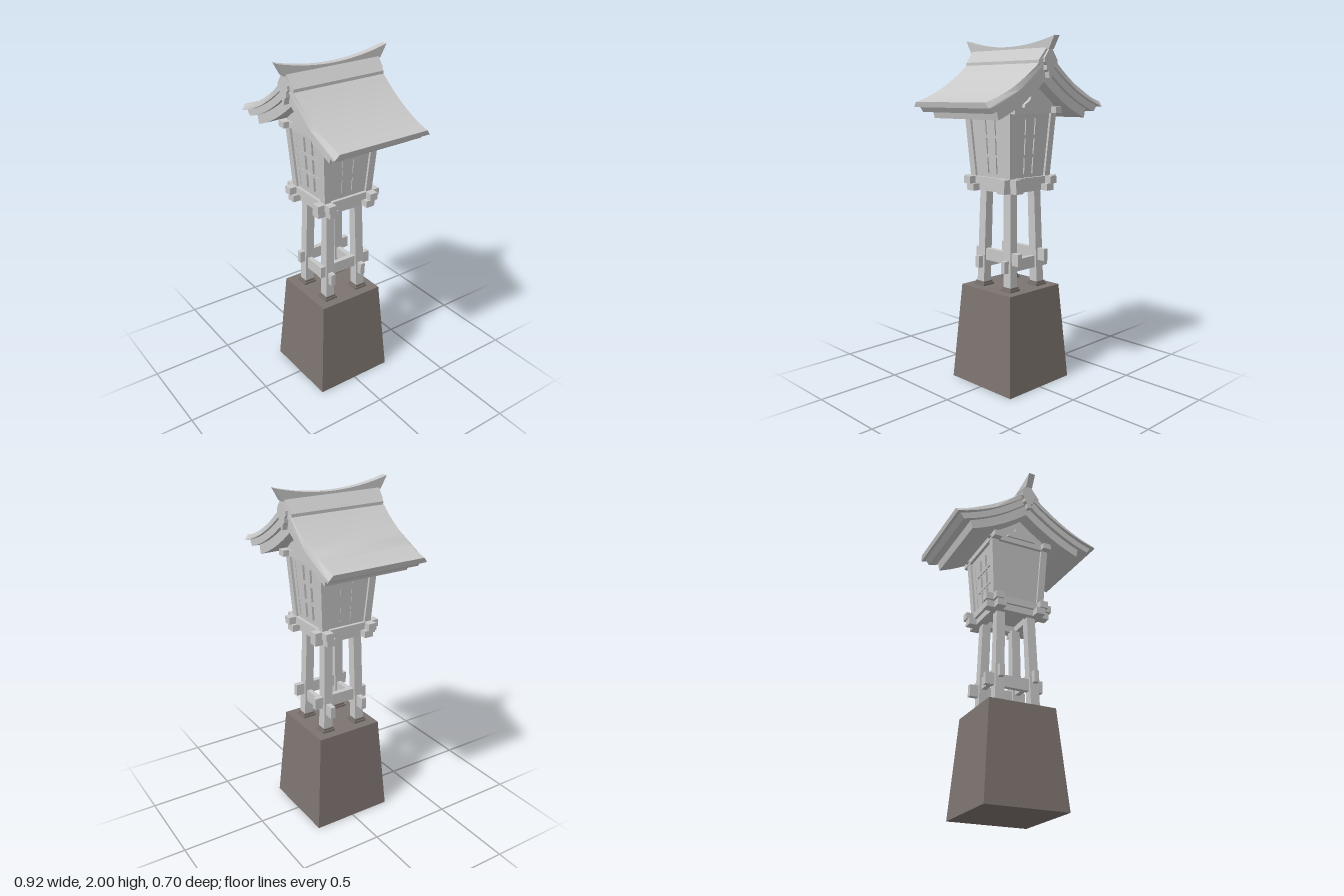
import * as THREE from 'three';
import { toCreasedNormals } from 'three/addons/utils/BufferGeometryUtils.js';

export function createModel() {
  const model = new THREE.Group();
  model.name = 'stoneLantern';
  const paleStone = new THREE.MeshStandardMaterial({ color: 0xc8c8c8 });
  paleStone.name = 'paleStone';
  const darkStone = new THREE.MeshStandardMaterial({ color: 0x7d7470 });
  darkStone.name = 'darkStone';

  const add = (name, geometry, material = paleStone, parent = model) => {
    const mesh = new THREE.Mesh(geometry, material);
    mesh.name = name;
    parent.add(mesh);
    return mesh;
  };
  const box = (name, w, h, d, x, y, z, material) =>
    add(name, new THREE.BoxGeometry(w, h, d).translate(x, y, z), material);
  // Square bar from (x0, y0, z0) to (x1, y1, z1) with widths w0 and w1
  const bar = (name, [x0, y0, z0, w0], [x1, y1, z1, w1], material) => {
    const g = new THREE.BoxGeometry(1, 1, 1);
    const p = g.attributes.position;
    for (let i = 0; i < p.count; i++) {
      const top = p.getY(i) > 0;
      const w = top ? w1 : w0;
      p.setXYZ(i, (top ? x1 : x0) + p.getX(i) * w, top ? y1 : y0, (top ? z1 : z0) + p.getZ(i) * w);
    }
    g.computeVertexNormals();
    return add(name, g, material);
  };
  const shapeOf = pts => new THREE.Shape(pts.map(([x, y]) => new THREE.Vector2(x, y)));
  // Mirrors a right-hand outline (top to bottom) to a closed outline
  const mirrored = pts => shapeOf([...pts, ...pts.slice().reverse().map(([x, y]) => [-x, y])]);
  const slab = (shape, depth) =>
    new THREE.ExtrudeGeometry(shape, { depth, bevelEnabled: false }).translate(0, 0, -depth / 2);

  // Tapered pedestal
  bar('pedestal', [0, 0, 0, 0.49], [0, 0.575, 0, 0.405], darkStone);

  // Four legs on stepped pads, and four splayed posts around the lamp box
  for (const sx of [-1, 1]) for (const sz of [-1, 1]) {
    const x = sx * 0.11, z = sz * 0.11;
    box('legPadLower', 0.08, 0.014, 0.08, x, 0.581, z, darkStone);
    box('legPadUpper', 0.068, 0.012, 0.068, x, 0.594, z, darkStone);
    bar('leg', [x, 0.598, z, 0.056], [sx * 0.097, 1.15, sz * 0.097, 0.052]);
    bar('cornerPost', [sx * 0.14, 1.22, sz * 0.14, 0.042], [sx * 0.165, 1.6, sz * 0.165, 0.042]);
  }

  for (const s of [-1, 1]) {
    // Braces through the legs, slightly offset
    box('sideToSideBrace', 0.355, 0.07, 0.03, -0.011, 0.72, s * 0.107);
    box('frontToBackBrace', 0.03, 0.07, 0.35, s * 0.107, 0.765, -0.01);
    // Crossed beams below the lamp box
    box('lowerBeamX', 0.40, 0.04, 0.055, 0, 1.165, s * 0.125);
    box('lowerBeamZ', 0.055, 0.04, 0.40, s * 0.125, 1.165, 0);
    box('upperBeamX', 0.42, 0.042, 0.05, 0, 1.206, s * 0.142);
    box('upperBeamZ', 0.05, 0.042, 0.42, s * 0.142, 1.206, 0);
    // Crossed beams under the roof
    box('topBeamX', 0.376, 0.035, 0.05, 0, 1.603, s * 0.165);
    box('topBeamZ', 0.05, 0.035, 0.45, s * 0.163, 1.603, 0);
  }
  box('floor', 0.28, 0.03, 0.28, 0, 1.2, 0);

  // Lattice walls: a tapered frame with nine openings over a recessed panel
  const halfWidth = v => 0.1 + 0.015 * (v - 0.02) / 0.32;
  const outline = [[0.148, 0.385], [0.122, 0]];
  const lattice = mirrored(outline);
  for (let r = 0; r < 3; r++) for (let c = 0; c < 3; c++) {
    const v0 = 0.025 + r * 0.11, v1 = v0 + 0.095;
    const at = (f, v) => new THREE.Vector2((f * 2 / 3 - 1) * halfWidth(v), v);
    const m = 0.08;
    lattice.holes.push(new THREE.Path([
      at(c + m, v0), at(c + m, v1), at(c + 1 - m, v1), at(c + 1 - m, v0)]));
  }
  const latticeGeometry = slab(lattice, 0.02);
  const panelGeometry = slab(mirrored(outline), 0.008).translate(0, 0, -0.013);
  for (let i = 0; i < 4; i++) {
    const wall = new THREE.Group();
    wall.name = 'latticeWall';
    const tilted = new THREE.Group();
    tilted.name = 'tiltedWall';
    tilted.position.set(0, 1.22, 0.137);
    tilted.rotation.x = Math.atan(0.025 / 0.38);
    add('lattice', latticeGeometry, paleStone, tilted);
    add('recessedPanel', panelGeometry, paleStone, tilted);
    wall.add(tilted);
    wall.rotation.y = i * Math.PI / 2;
    model.add(wall);
  }

  // Curved roof layers, offset downward from one shared curve
  const roofY = (x, off = 0) => 1.92 - 0.92 * x + 0.72 * x * x - off * Math.hypot(1, -0.92 + 1.44 * x);
  const roofLayer = (top, bottom, xTop, xBottom, halfDepth) => {
    const n = 16, pts = [];
    for (let i = 0; i <= n; i++) pts.push([xTop * i / n, roofY(xTop * i / n, top)]);
    for (let i = n; i >= 0; i--) pts.push([xBottom * i / n, roofY(xBottom * i / n, bottom)]);
    const left = pts.slice(1, -1).reverse().map(([x, y]) => [-x, y]);
    return slab(shapeOf([...pts, ...left]), halfDepth * 2);
  };
  const skin = roofLayer(0, 0.03, 0.459, 0.452, 0.293);
  const p = skin.attributes.position;
  for (let i = 0; i < p.count; i++) {
    // The gable edges lean outward toward the eaves
    const x = Math.abs(p.getX(i));
    const lean = p.getY(i) < roofY(x) - 0.015 ? 1 : -1;
    p.setZ(i, Math.sign(p.getZ(i)) * (0.293 + lean * 0.012 * Math.min(1, x / 0.4)));
  }
  add('roofSkin', toCreasedNormals(skin, 0.5));
  add('roofMiddleLayer', toCreasedNormals(roofLayer(0.03, 0.068, 0.432, 0.408, 0.282), 0.5));
  add('roofLowerLayer', toCreasedNormals(roofLayer(0.068, 0.12, 0.357, 0.345, 0.26), 0.5));

  // Ridge cap
  const cap = slab(mirrored([[0.018, 1.94], [0.075, 1.872], [0.075, 1.845], [0.01, 1.89]]), 0.6);
  const q = cap.attributes.position;
  for (let i = 0; i < q.count; i++) {
    q.setZ(i, Math.sign(q.getZ(i)) * (0.3 - 0.01 * Math.abs(q.getX(i)) / 0.075));
  }
  cap.computeVertexNormals();
  add('ridgeCap', cap);

  // Upswept ridge beam
  const ridge = [];
  for (let i = -10; i <= 10; i++) ridge.push([0.35 * i / 10, 1.952 + 0.048 * (i / 10) ** 2]);
  ridge.push([0.31, 1.93], [0.15, 1.92], [-0.15, 1.92], [-0.31, 1.93]);
  add('ridgeBeam', toCreasedNormals(slab(shapeOf(ridge), 0.04).rotateY(Math.PI / 2), 0.5));

  // Gable walls, struts and pendants at both ends
  const gable = slab(shapeOf([[-0.2, 1.6], [0.2, 1.6], [0, 1.79]]), 0.03);
  const strut = slab(mirrored([[0.016, 1.705], [0.035, 1.685], [0.045, 1.66], [0.085, 1.635], [0.09, 1.618]]), 0.03);
  const pendant = slab(mirrored([
    [0.012, 1.93], [0.045, 1.885], [0.045, 1.86], [0.03, 1.845], [0.03, 1.82], [0.014, 1.81], [0.009, 1.778]]), 0.03);
  for (const s of [-1, 1]) {
    add('gableWall', gable).position.z = s * 0.165;
    add('gableStrut', strut).position.z = s * 0.185;
    add('gablePendant', pendant).position.z = s * 0.292;
  }
  return model;
}
